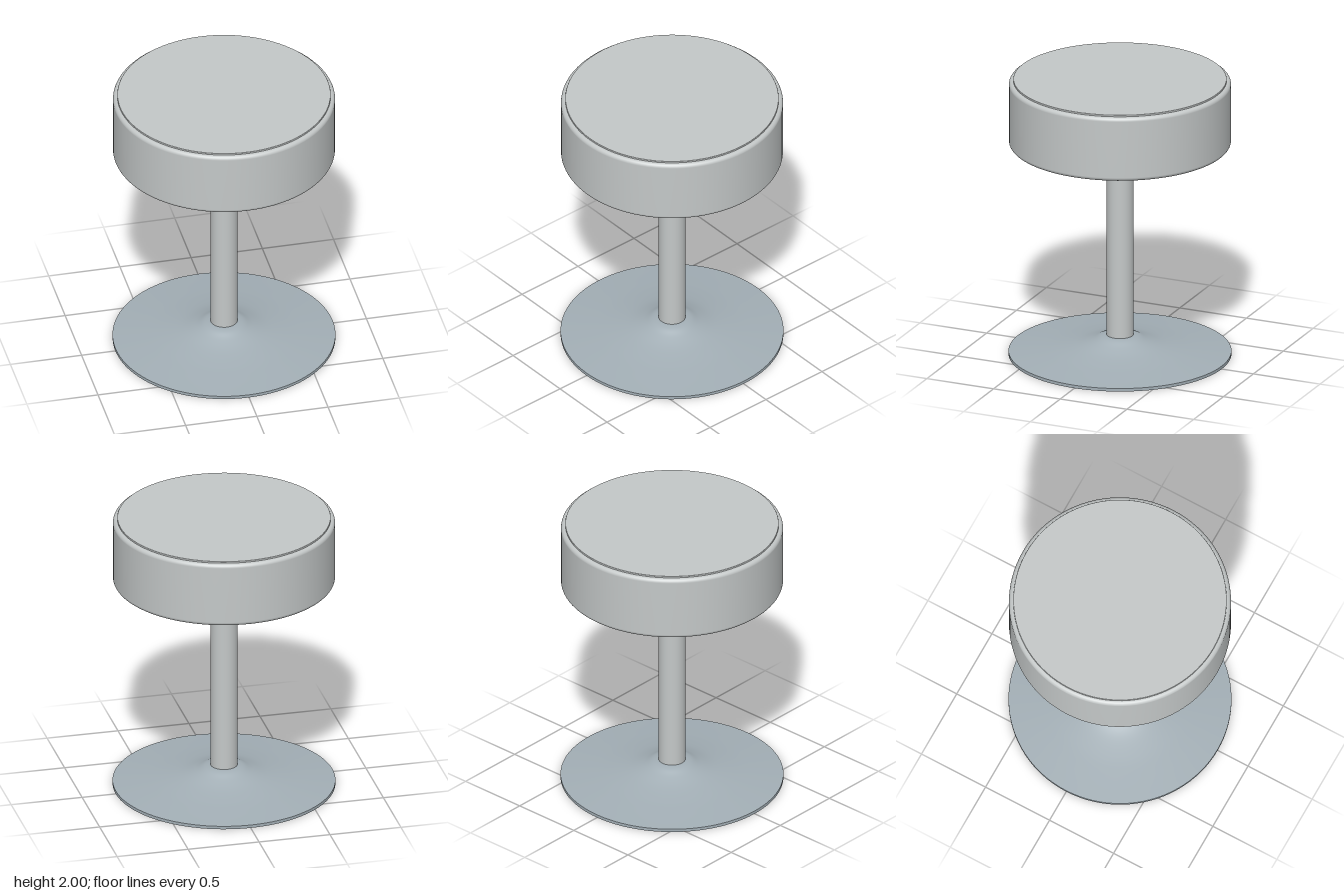
import * as THREE from 'three';

const seatGrey = new THREE.MeshStandardMaterial({ color: 0xc4c8c8 });
seatGrey.name = 'light grey';
const baseGrey = new THREE.MeshStandardMaterial({ color: 0xa3afb6 });
baseGrey.name = 'blue grey';

const SEGMENTS = 96;

// Smooth turned part from [radius, height] pairs, listed from bottom to top
function turned(name, material, profile) {
  const points = profile.map(([r, y]) => new THREE.Vector2(r, y));
  const mesh = new THREE.Mesh(new THREE.LatheGeometry(points, SEGMENTS), material);
  mesh.name = name;
  return mesh;
}

// Drum profile with rounded rims; extra points beside each rim keep the flats flat
function drumProfile(radius, bottom, top, round) {
  const profile = [[0, bottom], [radius - round - 0.005, bottom]];
  const steps = 6;
  for (const [cy, start] of [[bottom + round, -Math.PI / 2], [top - round, 0]]) {
    for (let i = 0; i <= steps; i++) {
      const a = start + (i / steps) * Math.PI / 2;
      profile.push([radius - round + round * Math.cos(a), cy + round * Math.sin(a)]);
    }
  }
  profile.push([radius - round - 0.005, top], [0, top]);
  return profile;
}

export function createModel() {
  const stool = new THREE.Group();
  stool.name = 'stool';

  // Padded seat with a thin inset top panel
  stool.add(turned('seatCushion', seatGrey, drumProfile(0.76, 1.525, 1.988, 0.028)));
  stool.add(turned('seatTop', seatGrey, drumProfile(0.73, 1.98, 2, 0.003)));

  // Central column
  const post = new THREE.Mesh(new THREE.CylinderGeometry(0.093, 0.093, 1.42, 64), seatGrey);
  post.name = 'post';
  post.position.y = 0.83;
  stool.add(post);

  // Flared foot: curved upper skin, thin rim and flat underside
  const flare = new THREE.SplineCurve([
    [0.763, 0.022], [0.6, 0.037], [0.45, 0.053], [0.3, 0.077],
    [0.2, 0.106], [0.14, 0.132], [0.105, 0.141],
  ].map(([r, y]) => new THREE.Vector2(r, y)));
  stool.add(turned('baseFlare', baseGrey,
    [...flare.getPoints(30).map((p) => [p.x, p.y]), [0.09, 0.142], [0, 0.142]]));
  stool.add(turned('baseRim', baseGrey, [[0.763, 0], [0.763, 0.022]]));
  stool.add(turned('baseUnderside', baseGrey, [[0, 0], [0.763, 0]]));

  return stool;
}
